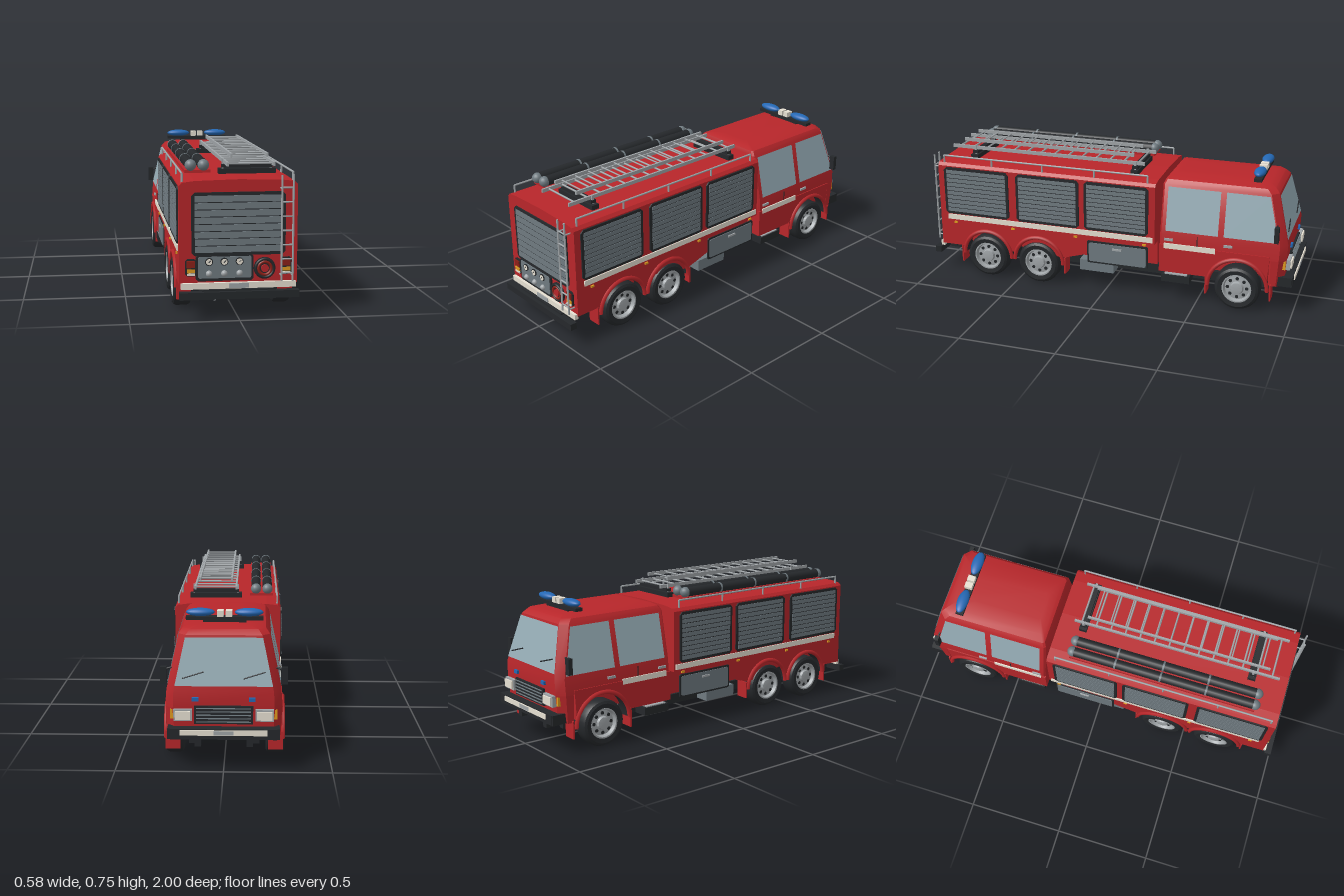
import * as THREE from 'three';
import { toCreasedNormals } from 'three/addons/utils/BufferGeometryUtils.js';

const mat = (color, side = THREE.FrontSide) => new THREE.MeshStandardMaterial({ color, side });
const RED = mat(0xb8262a, THREE.DoubleSide), DARK = mat(0x25282b), GREY = mat(0x6f7a80), STEEL = mat(0xa0a5a8);
const CREAM = mat(0xe6e0d2), BLUE = mat(0x2468b4), GLASS = mat(0x96adb6, THREE.DoubleSide);
const AMBER = mat(0xe09a20), LAMP = mat(0x8c2018), LINER = mat(0x25282b, THREE.DoubleSide);
const SIDES = [-1, 1];

export function createModel() {
  const root = new THREE.Group();
  root.name = 'fireEngine';

  const add = (name, geo, m, x = 0, y = 0, z = 0, parent = root) => {
    const mesh = new THREE.Mesh(geo, m);
    mesh.name = name;
    mesh.position.set(x, y, z);
    parent.add(mesh);
    return mesh;
  };
  const group = (name, x = 0, y = 0, z = 0) => {
    const g = new THREE.Group();
    g.name = name;
    g.position.set(x, y, z);
    root.add(g);
    return g;
  };
  const box = (name, m, w, h, d, x, y, z, parent) => add(name, new THREE.BoxGeometry(w, h, d), m, x, y, z, parent);
  // Round bar between two points
  const rod = (name, m, a, b, r, parent, seg = 8) => {
    const p = new THREE.Vector3(...a), q = new THREE.Vector3(...b), mid = p.clone().lerp(q, 0.5);
    const mesh = add(name, new THREE.CylinderGeometry(r, r, p.distanceTo(q), seg), m, mid.x, mid.y, mid.z, parent);
    mesh.quaternion.setFromUnitVectors(new THREE.Vector3(0, 1, 0), q.sub(p).normalize());
    return mesh;
  };
  // Flat plate with cut corners, facing +z
  const plate = (w, h, d, c) => {
    const a = w / 2, b = h / 2;
    const pts = [[a, c - b], [a, b - c], [a - c, b], [c - a, b], [-a, b - c], [-a, c - b], [c - a, -b], [a - c, -b]];
    return new THREE.ExtrudeGeometry(new THREE.Shape(pts.map(p => new THREE.Vector2(...p))), { depth: d, bevelEnabled: false });
  };
  const quad = (name, m, pts) => {
    const g = new THREE.BufferGeometry().setFromPoints(pts.map(p => new THREE.Vector3(...p)));
    g.setIndex([0, 1, 2, 0, 2, 3]);
    g.computeVertexNormals();
    return add(name, g, m);
  };
  // Stacked rings [y, halfWidth, zFront, zBack], front corners cut by c
  const loft = (name, rings, c) => {
    const pos = [], idx = [], n = 8;
    for (const [y, w, f, b] of rings)
      for (const [x, z] of [[w, b - 0.01], [w - 0.01, b], [0.01 - w, b], [-w, b - 0.01], [-w, f + c], [c - w, f], [w - c, f], [w, f + c]]) pos.push(x, y, z);
    for (let r = 0; r < rings.length - 1; r++)
      for (let i = 0; i < n; i++) {
        const a = r * n + i, a1 = r * n + (i + 1) % n;
        idx.push(a, a + n, a1, a1, a + n, a1 + n);
      }
    const t = (rings.length - 1) * n;
    for (let i = 1; i < n - 1; i++) idx.push(0, i, i + 1, t, t + i + 1, t + i);
    const g = new THREE.BufferGeometry();
    g.setAttribute('position', new THREE.Float32BufferAttribute(pos, 3));
    g.setIndex(idx);
    return add(name, toCreasedNormals(g, 0.5), RED);
  };
  // Lower side panel with round wheel openings
  const archPanel = (name, s, z0, z1, arches, r) => {
    const shape = new THREE.Shape(), a0 = Math.asin(0.04 / r);
    shape.moveTo(z0, 0.16);
    for (const c of arches) shape.absarc(c, 0.12, r, Math.PI - a0, a0, true);
    shape.lineTo(z1, 0.16).lineTo(z1, 0.31).lineTo(z0, 0.31);
    const g = new THREE.ExtrudeGeometry(shape, { depth: 0.07, bevelEnabled: false, curveSegments: 20 });
    g.rotateY(-Math.PI / 2);
    add(name, g, RED, s > 0 ? 0.272 : -0.202);
    for (const c of arches) {
      add('fenderLip', new THREE.TorusGeometry(r, 0.011, 6, 24, Math.PI), RED, s * 0.274, 0.12, c).rotation.y = Math.PI / 2;
      const liner = new THREE.CylinderGeometry(r - 0.002, r - 0.002, 0.08, 24, 1, true, 0, Math.PI);
      add('archLiner', liner.rotateZ(Math.PI / 2), LINER, s * 0.231, 0.12, c);
    }
  };
  // Roller shutter facing +z
  const shutter = (name, w, h, n) => {
    const g = group(name);
    add('shutterFrame', plate(w, h, 0.008, 0.015), DARK, 0, 0, 0, g);
    const step = (h - 0.025) / n;
    for (let i = 0; i < n; i++)
      box('slat', GREY, w - 0.03, step - 0.004, 0.006, 0, (i + 0.5 - n / 2) * step, 0.007, g);
    return g;
  };
  const ladder = (name, x0, x1, y, z0, z1, n, r) => {
    const g = group(name);
    for (const x of [x0, x1]) box('ladderRail', STEEL, 0.01, 0.018, z1 - z0, x, y, (z0 + z1) / 2, g);
    for (let i = 0; i < n; i++) {
      const z = z0 + (i + 0.5) * (z1 - z0) / n;
      rod('ladderRung', STEEL, [x0, y, z], [x1, y, z], r, g);
    }
  };

  // Equipment body with a slightly crowned roof
  const half = [[0.272, 0.3], [0.272, 0.615], [0.258, 0.63], [0.2, 0.637], [0, 0.642]];
  const outline = [...half, ...half.slice(0, 4).reverse().map(([x, y]) => [-x, y])].map(p => new THREE.Vector2(...p));
  add('bodyShell', new THREE.ExtrudeGeometry(new THREE.Shape(outline), { depth: 1.225, bevelEnabled: false }), RED, 0, 0, -0.275);
  box('bodyFloor', RED, 0.41, 0.14, 1.22, 0, 0.235, 0.337);
  box('rearSkirt', RED, 0.54, 0.15, 0.12, 0, 0.235, 0.889);

  // Cab
  const wAt = y => 0.264 - (y - 0.37) * 0.216, zAt = y => -0.958 + (y - 0.37) * 0.26;
  loft('cabShell', [[0.29, 0.268, -0.955, -0.3], [0.37, 0.264, -0.958, -0.3], [0.62, 0.21, -0.893, -0.3],
    [0.643, 0.192, -0.87, -0.31], [0.655, 0.15, -0.83, -0.33], [0.661, 0.08, -0.76, -0.37]], 0.035);
  loft('cabNose', [[0.15, 0.262, -0.945, -0.87], [0.29, 0.268, -0.955, -0.87]], 0.035);
  box('cabFloor', RED, 0.41, 0.13, 0.58, 0, 0.24, -0.59);
  quad('windscreen', GLASS, [[-1, 0.395], [1, 0.395], [1, 0.61], [-1, 0.61]].map(([s, y]) => [s * (wAt(y) - 0.034), y, zAt(y) - 0.003]));
  for (const s of SIDES) {
    const pane = (name, back, front) => quad(name, GLASS,
      [[back, 0.385], [front(0.385), 0.385], [front(0.61), 0.61], [back, 0.61]].map(([z, y]) => [s * (wAt(y) + 0.003), y, z]));
    pane('rearDoorWindow', -0.33, () => -0.605);
    pane('frontDoorWindow', -0.635, y => zAt(y) + 0.04);
    rod('wiper', DARK, [s * 0.14 - 0.05, 0.46, zAt(0.46) - 0.008], [s * 0.14 + 0.05, 0.43, zAt(0.43) - 0.008], 0.003);
    archPanel('bodySidePanel', s, -0.275, 0.95, [0.375, 0.675], 0.14);
    archPanel('cabSidePanel', s, -0.875, -0.3, [-0.715], 0.155);
    for (const [z, h] of [[0.83, 0.1], [0.225, 0.09], [-0.55, 0.1], [-0.885, 0.09]])
      box('mudFlap', RED, 0.07, h, 0.008, s * 0.24, 0.115, z);
    // Stripes, handles and marker lamps
    box('bodyStripe', CREAM, 0.01, 0.028, 1.17, s * 0.273, 0.325, 0.32);
    box('cabStripe', CREAM, 0.01, 0.028, 0.27, s * 0.268, 0.305, -0.46);
    for (const z of [-0.35, -0.66]) box('doorHandle', STEEL, 0.012, 0.012, 0.045, s * 0.268, 0.34, z);
    box('doorSeam', DARK, 0.004, 0.2, 0.004, s * 0.267, 0.27, -0.5);
    for (const z of [0.86, 0.52, 0.16, -0.22]) box('markerLamp', AMBER, 0.008, 0.01, 0.018, s * 0.276, 0.295, z);
    // Side shutters and lower locker
    for (const [z, w] of [[0.7275, 0.375], [0.3175, 0.355], [-0.065, 0.35]]) {
      const g = shutter('sideShutter', w, 0.265, 10);
      g.position.set(s * 0.271, 0.477, z);
      g.rotation.y = s * Math.PI / 2;
    }
    for (const [m, w, h, x] of [[DARK, 0.335, 0.125, 0.27], [GREY, 0.315, 0.105, 0.274]])
      add('lockerDoor', plate(w, h, 0.006, 0.006), m, s * x, 0.22, -0.073).rotation.y = s * Math.PI / 2;
    box('lockerHandle', STEEL, 0.01, 0.01, 0.05, s * 0.282, 0.25, -0.073);
    // Mirrors
    rod('mirrorArm', DARK, [s * 0.24, 0.47, -0.9], [s * 0.278, 0.46, -0.905], 0.005);
    box('mirror', DARK, 0.03, 0.08, 0.022, s * 0.277, 0.435, -0.905);
    // Roof handrail
    rod('roofRail', STEEL, [s * 0.255, 0.668, -0.23], [s * 0.255, 0.668, 0.92], 0.005);
    for (const z of [-0.23, 0.06, 0.35, 0.64, 0.92]) rod('railPost', STEEL, [s * 0.255, 0.625, z], [s * 0.255, 0.668, z], 0.005);
    // Chassis rail, tank and step
    box('chassisRail', DARK, 0.03, 0.05, 1.84, s * 0.15, 0.12, 0.04);
    box('sideTank', GREY, 0.08, 0.06, 0.19, s * 0.215, 0.13, 0.05);
    box('cabStep', DARK, 0.08, 0.04, 0.15, s * 0.235, 0.125, -0.39);
    box('stepTread', STEEL, 0.06, 0.005, 0.12, s * 0.24, 0.148, -0.39);
  }
  for (const z of [-0.5, -0.2, 0.15, 0.53, 0.85]) box('crossMember', GREY, 0.28, 0.03, 0.04, 0, 0.13, z);

  // Wheels and axles
  const tyre = [[0.07, -0.044], [0.1, -0.045], [0.112, -0.038], [0.118, -0.025], [0.118, 0.025], [0.112, 0.038], [0.1, 0.045], [0.078, 0.042], [0.073, 0.02]];
  const rim = [[0, -0.035], [0.072, -0.035], [0.077, 0.041], [0.07, 0.041], [0.064, 0.022], [0.035, 0.026], [0.03, 0.038], [0.018, 0.04], [0, 0.04]];
  const lathe = p => toCreasedNormals(new THREE.LatheGeometry(p.map(q => new THREE.Vector2(...q)), 32), 0.6);
  for (const z of [-0.715, 0.375, 0.675]) {
    for (const s of SIDES) {
      const g = group('wheel', s * 0.24, 0.118, z);
      g.rotation.z = -s * Math.PI / 2;
      add('tyre', lathe(tyre), DARK, 0, 0, 0, g);
      add('rim', lathe(rim), STEEL, 0, 0, 0, g);
      for (let i = 0; i < 8; i++) {
        const a = i * Math.PI / 4;
        add('rimHole', new THREE.CylinderGeometry(0.009, 0.009, 0.004, 10), DARK, 0.05 * Math.cos(a), 0.025, 0.05 * Math.sin(a), g);
      }
    }
    rod('axle', DARK, [-0.2, 0.118, z], [0.2, 0.118, z], 0.018, root, 12);
    add('differential', new THREE.SphereGeometry(0.044, 16, 12), DARK, 0, 0.118, z);
  }
  rod('driveShaft', DARK, [0, 0.12, -0.7], [0, 0.12, 0.66], 0.012);
  rod('exhaustPipe', STEEL, [-0.112, 0.098, 0.7], [-0.112, 0.098, 0.97], 0.009);

  // Nose: grille, lamps and bumper
  box('grille', DARK, 0.27, 0.085, 0.02, 0, 0.262, -0.957);
  for (let i = 0; i < 5; i++) box('grilleBar', GREY, 0.25, 0.004, 0.006, 0, 0.23 + i * 0.016, -0.969);
  for (const s of SIDES) {
    box('headlampFrame', STEEL, 0.085, 0.055, 0.03, s * 0.187, 0.262, -0.958);
    box('headlamp', CREAM, 0.07, 0.04, 0.01, s * 0.187, 0.262, -0.976);
    box('indicator', AMBER, 0.015, 0.045, 0.03, s * 0.238, 0.262, -0.937);
    box('flasher', BLUE, 0.03, 0.018, 0.015, s * 0.13, 0.335, -0.96);
    box('bumperEnd', DARK, 0.02, 0.05, 0.09, s * 0.247, 0.178, -0.945);
    box('towBracket', DARK, 0.03, 0.05, 0.06, s * 0.12, 0.13, -0.925);
  }
  box('frontBumper', DARK, 0.49, 0.05, 0.045, 0, 0.178, -0.97);
  box('frontBumperStrip', CREAM, 0.4, 0.025, 0.007, 0, 0.186, -0.995);
  box('frontPlate', STEEL, 0.09, 0.02, 0.006, 0, 0.186, -0.997);

  // Beacon bar
  box('beaconBase', DARK, 0.36, 0.016, 0.04, 0, 0.676, -0.78);
  box('beaconFoot', DARK, 0.2, 0.02, 0.03, 0, 0.663, -0.78);
  for (const s of SIDES) {
    add('beacon', new THREE.SphereGeometry(1, 24, 12), BLUE, s * 0.113, 0.703, -0.78).scale.set(0.067, 0.019, 0.03);
    box('beaconSpeaker', CREAM, 0.03, 0.028, 0.04, s * 0.02, 0.698, -0.78);
  }

  // Roof ladders on cradles
  for (const z of [-0.14, 0.765]) {
    box('ladderCradle', DARK, 0.27, 0.024, 0.04, 0.065, 0.658, z);
    box('cradlePad', DARK, 0.24, 0.016, 0.03, 0.065, 0.682, z);
    for (const x of [-0.05, 0.18]) box('cradlePost', STEEL, 0.008, 0.05, 0.012, x, 0.69, z);
  }
  ladder('lowerLadder', -0.042, 0.172, 0.703, -0.19, 0.9, 14, 0.005);
  ladder('upperLadder', -0.018, 0.15, 0.738, -0.125, 0.84, 12, 0.004);

  // Suction hoses
  box('hoseTray', RED, 0.12, 0.014, 0.98, -0.173, 0.664, 0.33);
  for (const x of [-0.205, -0.145]) {
    rod('hose', DARK, [x, 0.693, -0.15], [x, 0.693, 0.815], 0.025, root, 16);
    for (const z of [-0.15, 0.815]) add('hoseCap', new THREE.SphereGeometry(0.027, 16, 12), GREY, x, 0.693, z);
    for (const z of [0.08, 0.32, 0.56]) rod('hoseClamp', GREY, [x, 0.693, z - 0.005], [x, 0.693, z + 0.005], 0.027, root, 16);
  }

  // Rear end: shutter, pump panel, reel
  shutter('rearShutter', 0.432, 0.29, 8).position.set(0, 0.44, 0.949);
  add('pumpPanelFrame', plate(0.265, 0.12, 0.009, 0.01), DARK, -0.064, 0.238, 0.949);
  add('pumpPanel', plate(0.245, 0.1, 0.004, 0.006), GREY, -0.064, 0.241, 0.957);
  for (const x of [-0.137, -0.067, 0.003]) {
    rod('gaugeRing', DARK, [x, 0.268, 0.96], [x, 0.268, 0.966], 0.018, root, 20);
    rod('gaugeFace', CREAM, [x, 0.268, 0.962], [x, 0.268, 0.968], 0.014, root, 20);
    rod('gaugeNeedle', DARK, [x - 0.003, 0.265, 0.969], [x + 0.007, 0.275, 0.969], 0.002);
    add('outletCap', new THREE.SphereGeometry(0.015, 16, 10), STEEL, x, 0.213, 0.962);
  }
  rod('hoseReel', DARK, [0.12, 0.232, 0.945], [0.12, 0.232, 0.958], 0.05, root, 24);
  for (const r of [0.042, 0.03]) add('reelRing', new THREE.TorusGeometry(r, 0.007, 8, 28), r > 0.04 ? DARK : LAMP, 0.12, 0.232, 0.96);
  rod('reelHub', RED, [0.12, 0.232, 0.955], [0.12, 0.232, 0.966], 0.018, root, 16);
  for (const s of SIDES) {
    add('tailLampFrame', plate(0.05, 0.08, 0.01, 0.01), DARK, s * 0.22, 0.242, 0.949);
    for (const [m, y, h] of [[LAMP, 0.258, 0.032], [AMBER, 0.227, 0.016], [CREAM, 0.211, 0.009]])
      box('tailLamp', m, 0.036, h, 0.01, s * 0.22, y, 0.96);
  }
  box('rearStrip', CREAM, 0.53, 0.028, 0.02, 0, 0.156, 0.955);
  box('rearPlate', STEEL, 0.09, 0.022, 0.006, 0, 0.156, 0.967);
  box('rearBumper', DARK, 0.55, 0.034, 0.035, 0, 0.118, 0.981);
  box('bumperMount', DARK, 0.34, 0.04, 0.06, 0, 0.122, 0.95);

  // Rear access ladder
  for (const x of [0.193, 0.245]) {
    rod('accessRail', STEEL, [x, 0.175, 0.983], [x, 0.662, 0.983], 0.005);
    for (const y of [0.2, 0.6]) rod('accessBracket', STEEL, [x, y, 0.945], [x, y, 0.983], 0.004);
  }
  for (let i = 0; i < 7; i++) rod('accessRung', STEEL, [0.193, 0.212 + i * 0.0655, 0.983], [0.245, 0.212 + i * 0.0655, 0.983], 0.004);

  return root;
}
